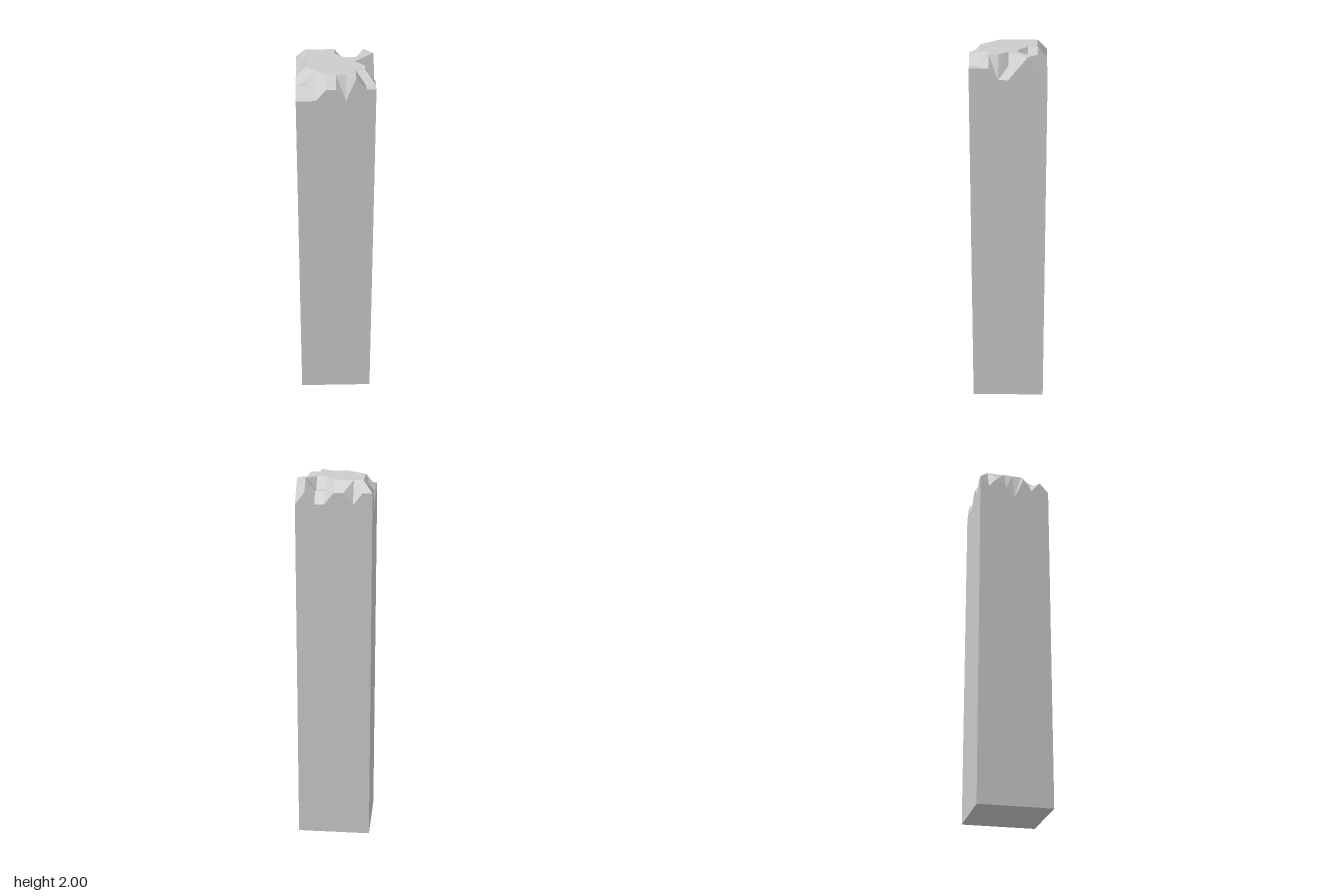
import * as THREE from 'three';

const N = 8, CELL = 0.05, HALF = 0.2, TOP = 2, STEP = 0.06;

// How many steps each grid point is broken away below the top (rows run back to front)
const CHIPS = [
  '112112212',
  '200001101',
  '100001100',
  '200000001',
  '300000012',
  '100000002',
  '210000001',
  '111000011',
  '222112011',
];
// Cells (column,row) whose crease runs the other way
const FLIPPED = new Set(['2,0', '0,1', '6,2', '7,2', '6,3', '7,5', '0,6', '1,6']);

const topPoint = (i, j) => [i * CELL - HALF, TOP - STEP * Number(CHIPS[j][i]), j * CELL - HALF];
const basePoint = (i, j) => [i * CELL - HALF, 0, j * CELL - HALF];

function makeMesh(name, triangles) {
  const geometry = new THREE.BufferGeometry();
  geometry.setAttribute('position', new THREE.Float32BufferAttribute(triangles.flat(2), 3));
  geometry.computeVertexNormals();
  const mesh = new THREE.Mesh(geometry, new THREE.MeshStandardMaterial({ color: 0xcccccc, flatShading: true }));
  mesh.name = name;
  return mesh;
}

// Broken, chipped upper surface
function createBrokenTop() {
  const triangles = [];
  for (let j = 0; j < N; j++) {
    for (let i = 0; i < N; i++) {
      const a = topPoint(i, j), b = topPoint(i + 1, j);
      const c = topPoint(i, j + 1), d = topPoint(i + 1, j + 1);
      if (FLIPPED.has(`${i},${j}`)) triangles.push([a, c, b], [b, c, d]);
      else triangles.push([a, c, d], [a, d, b]);
    }
  }
  return makeMesh('brokenTop', triangles);
}

// Straight walls that follow the ragged rim
function createShaft() {
  const rim = [];
  for (let k = 0; k < N; k++) rim.push([k, N]);
  for (let k = 0; k < N; k++) rim.push([N, N - k]);
  for (let k = 0; k < N; k++) rim.push([N - k, 0]);
  for (let k = 0; k < N; k++) rim.push([0, k]);
  const triangles = [];
  rim.forEach((p, k) => {
    const q = rim[(k + 1) % rim.length];
    triangles.push([basePoint(...p), basePoint(...q), topPoint(...q)]);
    triangles.push([basePoint(...p), topPoint(...q), topPoint(...p)]);
  });
  return makeMesh('shaft', triangles);
}

// Flat underside
function createUnderside() {
  const a = basePoint(0, 0), b = basePoint(N, 0), c = basePoint(N, N), d = basePoint(0, N);
  return makeMesh('underside', [[a, b, c], [a, c, d]]);
}

export function createModel() {
  const group = new THREE.Group();
  group.name = 'brokenPillar';
  group.add(createShaft(), createBrokenTop(), createUnderside());
  return group;
}
